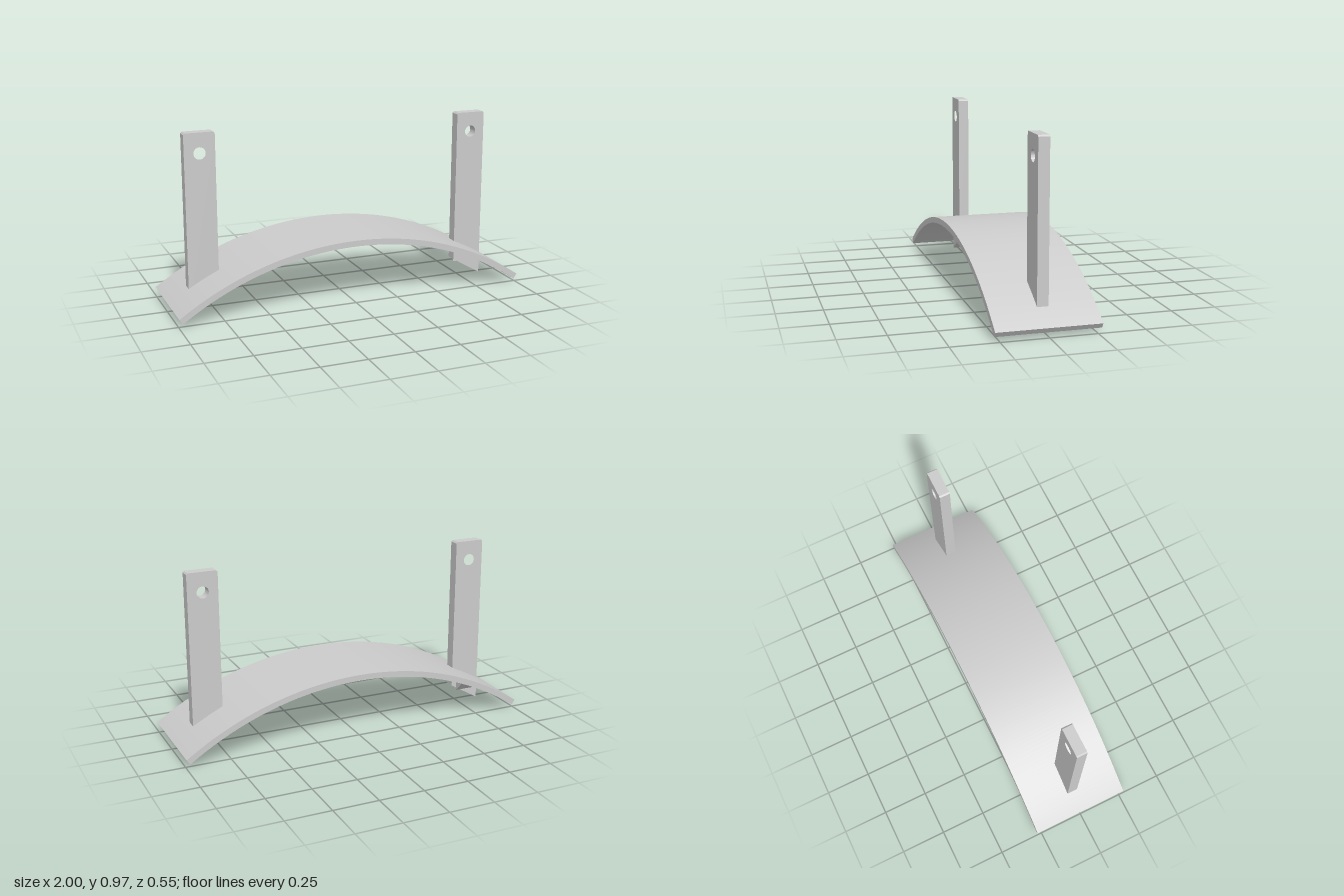
import * as THREE from 'three';
import { toCreasedNormals } from 'three/addons/utils/BufferGeometryUtils.js';
import { ConvexGeometry } from 'three/addons/geometries/ConvexGeometry.js';

const OUTER = 1.745, INNER = 1.712, CENTRE_Y = -1.38; // arc of the curved plate
const POST_X = 0.8;

// Extrude a front-facing shape, centred on z = 0
function slab(shape, depth, curveSegments) {
  const geometry = new THREE.ExtrudeGeometry(shape, { depth, curveSegments, bevelEnabled: false });
  geometry.translate(0, 0, -depth / 2);
  return toCreasedNormals(geometry, 0.5);
}

function plateGeometry() {
  const half = Math.asin(1 / OUTER);
  const shape = new THREE.Shape();
  shape.absarc(0, CENTRE_Y, OUTER, Math.PI / 2 - half, Math.PI / 2 + half, false);
  shape.absarc(0, CENTRE_Y, INNER, Math.PI / 2 + half, Math.PI / 2 - half, true);
  shape.closePath();
  return slab(shape, 0.55, 48);
}

// Upright with a slanted foot, tiny top chamfers and a round hole
function postGeometry(side) {
  const points = [[0.885, 0], [0.885, 0.966], [0.877, 0.974], [0.723, 0.974], [0.715, 0.966], [0.715, 0.1]];
  const shape = new THREE.Shape(points.map(([x, y]) => new THREE.Vector2(side * x, y)));
  const hole = new THREE.Path();
  hole.absarc(side * POST_X, 0.863, 0.033, 0, Math.PI * 2, true);
  shape.holes.push(hole);
  return slab(shape, 0.06, 24);
}

// Sloped brace between the back of the post and the underside of the plate
function braceGeometry(side) {
  const points = [];
  for (const x of [0.745, 0.855]) {
    const top = CENTRE_Y + Math.sqrt(INNER ** 2 - x ** 2) + 0.008;
    points.push(
      new THREE.Vector3(side * x, 0.065, -0.029),
      new THREE.Vector3(side * x, top, -0.029),
      new THREE.Vector3(side * x, top, -0.03 - (top - 0.065) * 1.02)
    );
  }
  return new ConvexGeometry(points);
}

export function createModel() {
  const group = new THREE.Group();
  const material = new THREE.MeshStandardMaterial({ color: 0xcccccc });
  const add = (name, geometry) => {
    const mesh = new THREE.Mesh(geometry, material);
    mesh.name = name;
    group.add(mesh);
  };

  add('curvedPlate', plateGeometry());
  for (const [name, side] of [['left', 1], ['right', -1]]) {
    add(name + 'Post', postGeometry(side));
    add(name + 'Brace', braceGeometry(side));
  }
  return group;
}
